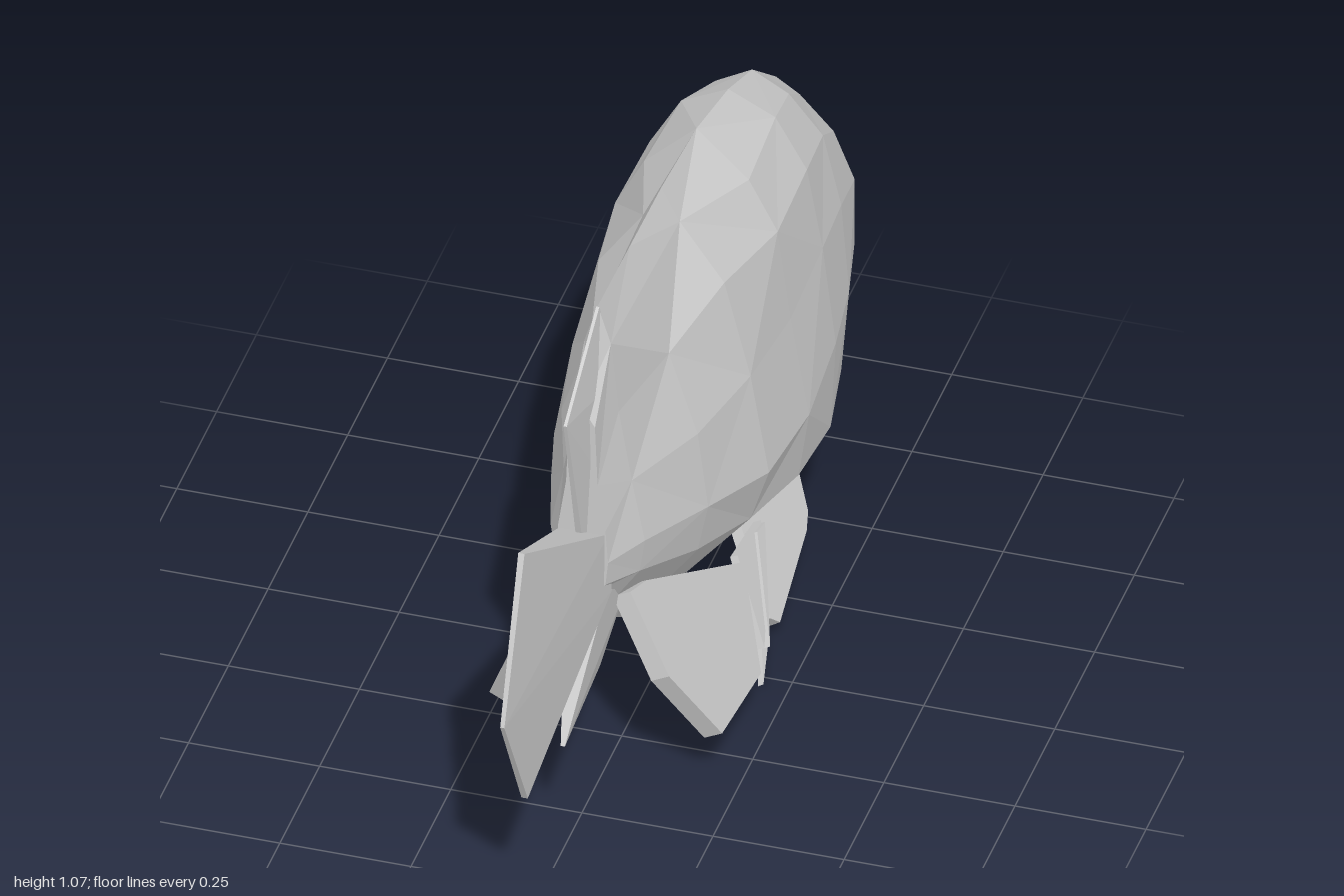
import * as THREE from 'three';
import { ConvexGeometry } from 'three/addons/geometries/ConvexGeometry.js';

const skin = new THREE.MeshStandardMaterial({ color: 0xcccccc, flatShading: true });
skin.name = 'paleGrey';

// Cross-sections from snout to tail root: z, top y, five [x, y] flank points, keel y
const SECTIONS = [
  [-0.93, 0.57, [[0.02, 0.55], [0.04, 0.52], [0.05, 0.48], [0.055, 0.45], [0.05, 0.39]], 0.35],
  [-0.86, 0.67, [[0.03, 0.65], [0.065, 0.59], [0.085, 0.53], [0.09, 0.45], [0.085, 0.36]], 0.305],
  [-0.72, 0.82, [[0.045, 0.79], [0.11, 0.72], [0.15, 0.62], [0.15, 0.48], [0.135, 0.32]], 0.235],
  [-0.57, 0.94, [[0.07, 0.9], [0.135, 0.82], [0.17, 0.67], [0.185, 0.48], [0.17, 0.3]], 0.155],
  [-0.42, 1.0, [[0.09, 0.955], [0.15, 0.85], [0.18, 0.68], [0.205, 0.47], [0.195, 0.28]], 0.145],
  [-0.22, 1.05, [[0.1, 0.955], [0.155, 0.85], [0.18, 0.66], [0.215, 0.45], [0.195, 0.31]], 0.14],
  [0.0, 1.07, [[0.035, 1.0], [0.12, 0.88], [0.17, 0.68], [0.205, 0.47], [0.17, 0.36]], 0.155],
  [0.2, 1.075, [[0.03, 1.0], [0.075, 0.85], [0.13, 0.68], [0.15, 0.52], [0.13, 0.42]], 0.24],
  [0.4, 1.08, [[0.025, 1.0], [0.04, 0.85], [0.065, 0.7], [0.09, 0.57], [0.08, 0.5]], 0.38],
  [0.5, 0.92, [[0.025, 0.88], [0.03, 0.75], [0.045, 0.65], [0.05, 0.58], [0.045, 0.53]], 0.49],
];

// Loft mirrored cross-sections into a closed faceted hull
function bodyGeometry() {
  const pos = [], idx = [], n = 12;
  for (const [z, top, side, keel] of SECTIONS) {
    const ring = [[0, top], ...side, [0, keel], ...side.slice().reverse().map(([x, y]) => [-x, y])];
    for (const [x, y] of ring) pos.push(x, y, z);
  }
  for (let s = 0; s < SECTIONS.length - 1; s++) {
    for (let i = 0; i < n; i++) {
      const a = s * n + i, b = s * n + (i + 1) % n, c = a + n, d = b + n;
      // alternate the diagonals, mirrored left to right
      const k = i < 6 ? i : 11 - i;
      const flip = ((s + k) % 2 === 0) === (i < 6);
      if (flip) idx.push(a, c, b, b, c, d);
      else idx.push(a, c, d, a, d, b);
    }
  }
  // End caps, as strips across the mirrored sides
  const last = (SECTIONS.length - 1) * n;
  for (let i = 0; i < 6; i++) {
    const j = (n - i) % n, r = i, r2 = i + 1, l2 = n - i - 1;
    if (r !== j) {
      idx.push(r, r2, j, last + r, last + j, last + r2);
    }
    if (r2 !== l2) {
      idx.push(j, r2, l2, last + j, last + l2, last + r2);
    }
  }
  const g = new THREE.BufferGeometry();
  g.setAttribute('position', new THREE.Float32BufferAttribute(pos, 3));
  g.setIndex(idx);
  const flat = g.toNonIndexed();
  flat.computeVertexNormals();
  return flat;
}

function hull(points) {
  return new ConvexGeometry(points.map((p) => new THREE.Vector3(...p)));
}

// Upright fin on the centre line: outline points are [z, y, half thickness]
function centreFin(outline) {
  return hull(outline.flatMap(([z, y, h]) => [[h, y, z], [-h, y, z]]));
}

// Splayed fin leaning outwards from (x0, y0): outline points are [z, y]
function splayedFin(outline, side, x0, y0, lean, half) {
  const len = Math.hypot(1, lean), nx = half / len, ny = (half * lean) / len;
  return hull(outline.flatMap(([z, y]) => {
    const x = x0 + (y0 - y) * lean;
    return [[side * (x + nx), y + ny, z], [side * (x - nx), y - ny, z]];
  }));
}

export function createModel() {
  const group = new THREE.Group();
  group.name = 'fish';
  const add = (name, geometry) => {
    const mesh = new THREE.Mesh(geometry, skin);
    mesh.name = name;
    group.add(mesh);
  };

  add('body', bodyGeometry());

  // Lips with an open notch between them
  add('upperLip', hull([[0.05, 0.5, -0.92], [-0.05, 0.5, -0.92], [0, 0.57, -0.92],
    [0, 0.46, -0.92], [0, 0.535, -0.955], [0.012, 0.475, -0.99], [-0.012, 0.475, -0.99]]));
  add('lowerLip', hull([[0.053, 0.41, -0.92], [-0.053, 0.41, -0.92], [0, 0.35, -0.92],
    [0, 0.46, -0.92], [0.012, 0.41, -0.995], [-0.012, 0.41, -0.995]]));

  // Fins on the centre line
  add('tailFin', centreFin([[0.46, 0.49, 0.045], [0.48, 0.63, 0.045], [0.88, 0.855, 0.006],
    [1.0, 0.545, 0.004], [0.86, 0.29, 0.006]]));
  add('dorsalFin', centreFin([[0.4, 1.078, 0.003], [0.605, 0.95, 0.003], [0.515, 0.63, 0.006],
    [0.35, 0.9, 0.03], [0.4, 0.66, 0.03]]));
  add('analFin', centreFin([[0.47, 0.5, 0.04], [0.62, 0.24, 0.004], [0.41, 0.28, 0.008],
    [0.36, 0.42, 0.04]]));

  for (const side of [1, -1]) {
    const label = side > 0 ? 'left' : 'right';

    // Large rear pair and its trailing rays
    const rear = (name, outline, half) =>
      add(label + name, splayedFin(outline, side, 0.05, 0.43, 0.5, half));
    rear('RearFin', [[0.4, 0.44], [0.33, 0.42], [0.42, 0.28], [0.35, 0.12], [0.13, 0.105],
      [0.0, 0.25]], 0.019);
    rear('RearRayUpper', [[-0.01, 0.26], [-0.14, 0.25], [-0.05, 0.17], [0.06, 0.115]], 0.008);
    rear('RearRayLower', [[-0.14, 0.245], [-0.1, 0.25], [0.04, 0.12], [0.05, 0.11]], 0.014);

    // Smaller forward pair with thin trailing rays
    const fore = (name, outline, half) =>
      add(label + name, splayedFin(outline, side, 0.06, 0.23, 0.63, half));
    fore('ForeFin', [[-0.52, 0.22], [-0.4, 0.09], [-0.36, 0.075], [-0.12, 0.04], [-0.1, 0.06],
      [-0.22, 0.24]], 0.012);
    fore('ForeRayLong', [[-0.24, 0.15], [-0.2, 0.14], [0.03, 0.01], [-0.08, 0.045]], 0.006);
    fore('ForeRayShort', [[-0.25, 0.2], [-0.2, 0.18], [-0.04, 0.085], [-0.12, 0.1]], 0.006);
  }

  return group;
}
